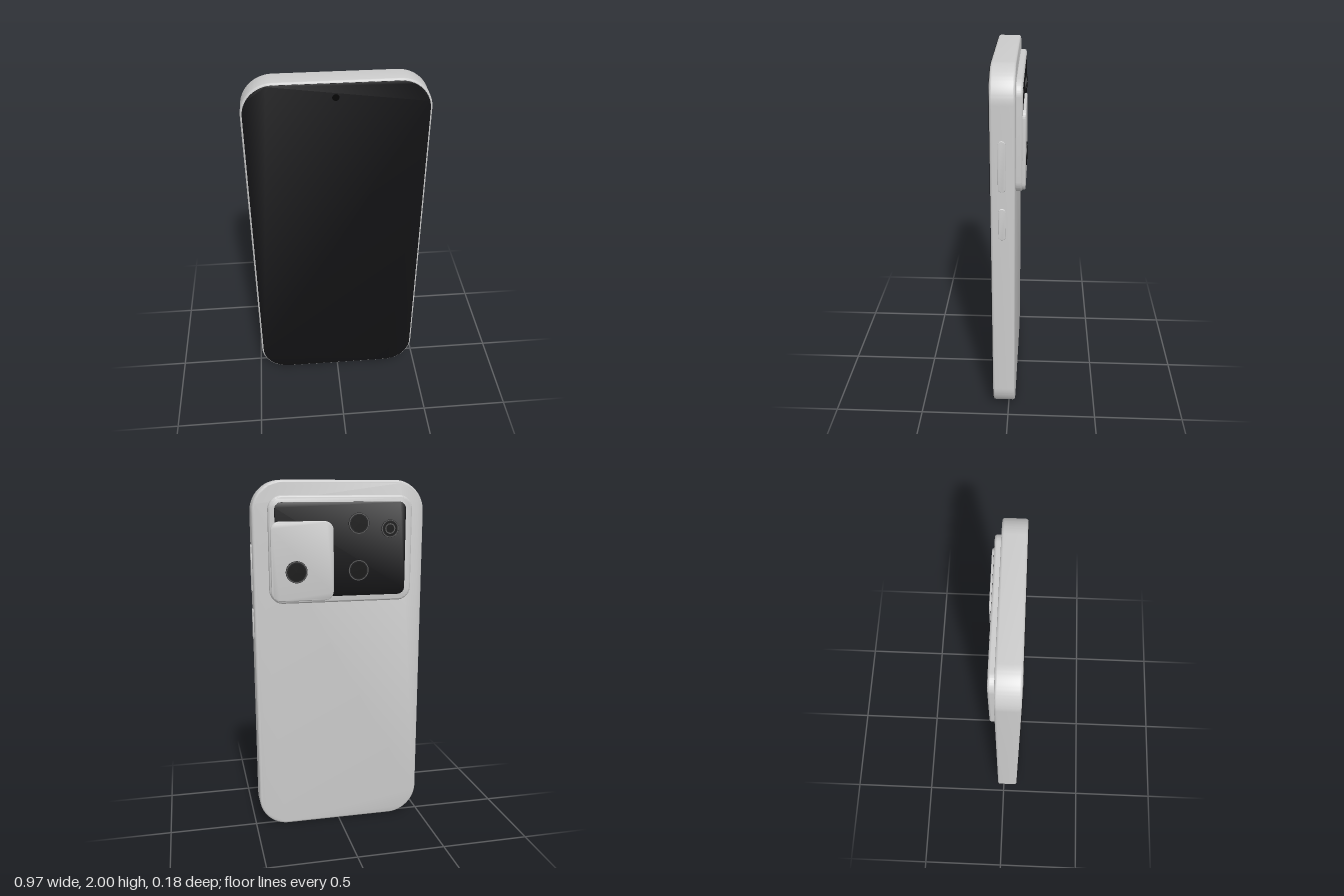
import * as THREE from 'three';
import { toCreasedNormals } from 'three/addons/utils/BufferGeometryUtils.js';

const grey = new THREE.MeshStandardMaterial({ color: 0xcccccc });
const black = new THREE.MeshStandardMaterial({ color: 0x121214 });
const dark = new THREE.MeshStandardMaterial({ color: 0x030303 });
const rim = new THREE.MeshStandardMaterial({ color: 0x555555 });

function roundedRect(w, h, r) {
  const s = new THREE.Shape();
  const x = w / 2, y = h / 2;
  s.absarc(x - r, y - r, r, 0, Math.PI / 2);
  s.absarc(-x + r, y - r, r, Math.PI / 2, Math.PI);
  s.absarc(-x + r, -y + r, r, Math.PI, Math.PI * 1.5);
  s.absarc(x - r, -y + r, r, Math.PI * 1.5, Math.PI * 2);
  s.closePath();
  return s;
}

// Rounded slab centred on the origin; w, h, d are its outer sizes
function slab(w, h, d, r, bevel) {
  const b = bevel;
  const geo = new THREE.ExtrudeGeometry(roundedRect(w - 2 * b, h - 2 * b, r - b), {
    depth: d - 2 * b, bevelEnabled: b > 0, bevelThickness: b, bevelSize: b,
    bevelSegments: 4, curveSegments: 16,
  });
  geo.translate(0, 0, b - d / 2);
  return toCreasedNormals(geo, 0.6);
}

function add(parent, name, geo, mat, x, y, z) {
  const mesh = new THREE.Mesh(geo, mat);
  mesh.name = name;
  mesh.position.set(x, y, z);
  parent.add(mesh);
  return mesh;
}

// Slab placed by its x, y and z ranges
function plate(parent, name, mat, [x0, x1], [y0, y1], [z0, z1], r, bevel) {
  return add(parent, name, slab(x1 - x0, y1 - y0, z1 - z0, r, bevel), mat,
    (x0 + x1) / 2, (y0 + y1) / 2, (z0 + z1) / 2);
}

// Round lens facing the back: barrel, thin rim and dark glass
function lens(parent, name, x, y, zBase, zTop, r) {
  const g = new THREE.Group();
  g.name = name;
  g.position.set(x, y, 0);
  parent.add(g);
  const depth = zBase - zTop;
  add(g, 'barrel', new THREE.CylinderGeometry(r, r, depth, 40), black, 0, 0, (zBase + zTop) / 2)
    .rotation.x = Math.PI / 2;
  const ring = add(g, 'rim', new THREE.RingGeometry(r * 0.88, r * 0.97, 40), rim, 0, 0, zTop - 0.0006);
  const glass = add(g, 'glass', new THREE.CircleGeometry(r * 0.78, 40), dark, 0, 0, zTop - 0.0006);
  ring.rotation.y = glass.rotation.y = Math.PI;
  return g;
}

export function createModel() {
  const phone = new THREE.Group();
  phone.name = 'phone';
  const cx = -0.003, midZ = 0.026;

  // Body and display
  plate(phone, 'body', grey, [-0.483, 0.477], [0.001, 2], [-0.037, 0.086], 0.17, 0.012);
  plate(phone, 'screen', black, [-0.473, 0.467], [0.011, 1.99], [0.08, 0.088], 0.16, 0.001);
  add(phone, 'frontCamera', new THREE.CircleGeometry(0.018, 32), dark, -0.01, 1.915, 0.0887);

  // Camera plateau with its glass panel and raised square block
  plate(phone, 'cameraPlateau', grey, [-0.408, 0.393], [1.34, 1.92], [-0.07, -0.03], 0.075, 0.012);
  plate(phone, 'cameraGlass', black, [-0.37, 0.36], [1.375, 1.885], [-0.0715, -0.06], 0.04, 0.001);
  plate(phone, 'cameraBlock', grey, [0.04, 0.385], [1.355, 1.785], [-0.086, -0.05], 0.05, 0.006);

  // Lenses and flash
  lens(phone, 'mainLens', 0.247, 1.515, -0.08, -0.09, 0.06);
  lens(phone, 'upperLens', -0.103, 1.77, -0.065, -0.075, 0.058);
  lens(phone, 'lowerLens', -0.103, 1.515, -0.065, -0.075, 0.058);
  const flash = lens(phone, 'flash', -0.28, 1.74, -0.065, -0.075, 0.049);
  add(flash, 'flashRing', new THREE.RingGeometry(0.023, 0.029, 32), rim, 0, 0, -0.0762)
    .rotation.y = Math.PI;

  // Side buttons on the left edge
  for (const [name, y0, y1] of [['longButton', 1.395, 1.66], ['shortButton', 1.13, 1.305]]) {
    add(phone, name, slab(0.038, y1 - y0, 0.02, 0.019, 0.003), grey, 0.473, (y0 + y1) / 2, 0.028)
      .rotation.y = Math.PI / 2;
  }

  // Charging port and speaker holes on the underside
  add(phone, 'port', slab(0.12, 0.042, 0.006, 0.021, 0), dark, cx, 0.003, midZ)
    .rotation.x = Math.PI / 2;
  for (const side of [-1, 1]) {
    for (let i = 0; i < 6; i++) {
      add(phone, 'speakerHole', new THREE.CylinderGeometry(0.007, 0.007, 0.006, 16), dark,
        cx + side * (0.1 + i * 0.024), 0.003, midZ);
    }
  }
  return phone;
}
